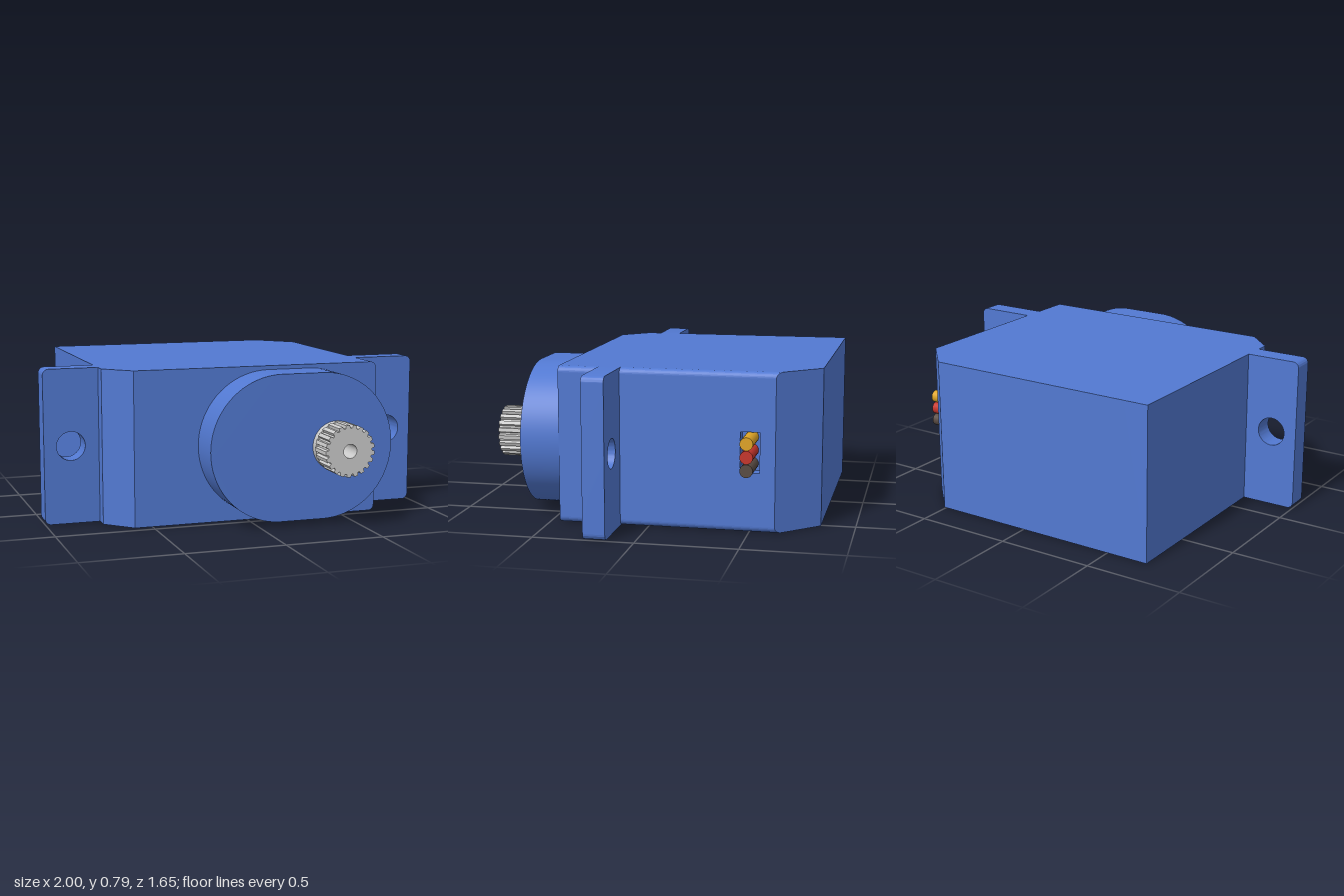
import * as THREE from 'three';
import { toCreasedNormals } from 'three/addons/utils/BufferGeometryUtils.js';

const H = 0.785, MID = 0.395;
const paint = (color) => new THREE.MeshStandardMaterial({ color });
const blue = paint(0x5279d2), grey = paint(0xcccccc);

function add(parent, name, geometry, material) {
  const mesh = new THREE.Mesh(geometry, material);
  mesh.name = name;
  parent.add(mesh);
  return mesh;
}

// Extrudes a shape along z, from z0 to z1
function plate(shape, z0, z1, smooth = true) {
  const g = new THREE.ExtrudeGeometry(shape, { depth: z1 - z0, bevelEnabled: false, curveSegments: 32 });
  g.translate(0, 0, z0);
  return smooth ? toCreasedNormals(g, 0.5) : g;
}

function circlePath(x, y, r) {
  return new THREE.Path().absarc(x, y, r, 0, Math.PI * 2, true);
}

// Joins rectangular sections [x, y0, y1, z0, z1] in order and closes both ends
function loftRectangles(sections) {
  const rings = sections.map(([x, y0, y1, z0, z1]) =>
    [[x, y0, z1], [x, y0, z0], [x, y1, z0], [x, y1, z1]]);
  const pos = [];
  const quad = (a, b, c, d) => pos.push(...a, ...b, ...c, ...a, ...c, ...d);
  for (let i = 0; i + 1 < rings.length; i++) {
    for (let j = 0; j < 4; j++) {
      const k = (j + 1) % 4;
      quad(rings[i][j], rings[i][k], rings[i + 1][k], rings[i + 1][j]);
    }
  }
  const first = rings[0], last = rings[rings.length - 1];
  quad(first[3], first[2], first[1], first[0]);
  quad(...last);
  const g = new THREE.BufferGeometry();
  g.setAttribute('position', new THREE.Float32BufferAttribute(pos, 3));
  g.computeVertexNormals();
  return g;
}

// Case with two chamfered corners, rounded left edges and a cable pocket
function caseGeometry() {
  const r = 0.03, steps = 8;
  const back = (x) => -0.83 + Math.max(0, x - 0.51) * 1.05;
  const sections = [
    [-0.72, 0, H, -0.83, 0.32],
    [-0.59, 0, H, -0.83, 0.45],
    [0.51, 0, H, -0.83, 0.45],
  ];
  for (let i = 0; i <= steps; i++) {
    const a = (i / steps) * Math.PI / 2;
    const x = 0.705 - r + r * Math.sin(a), inset = r * (1 - Math.cos(a));
    sections.push([x, inset, H - inset, back(x), 0.45]);
  }
  sections.push([0.705, 0.295, 0.495, -0.55, -0.455]);
  sections.push([0.64, 0.295, 0.495, -0.55, -0.455]);
  return loftRectangles(sections);
}

// Mounting ear with rounded outer corners and a screw hole
function earGeometry() {
  const r = 0.03, s = new THREE.Shape();
  s.moveTo(0.67, 0);
  s.lineTo(1 - r, 0);
  s.absarc(1 - r, r, r, -Math.PI / 2, 0, false);
  s.absarc(1 - r, H - r, r, 0, Math.PI / 2, false);
  s.lineTo(0.67, H);
  s.closePath();
  s.holes.push(circlePath(0.863, MID, 0.073));
  return plate(s, -0.055, 0.055);
}

// Stadium-shaped gear housing
function housingGeometry() {
  const r = 0.37, s = new THREE.Shape();
  s.absarc(0.11, MID, r, Math.PI / 2, Math.PI * 1.5, false);
  s.absarc(0.333, MID, r, -Math.PI / 2, Math.PI / 2, false);
  s.closePath();
  return plate(s, 0.45, 0.65);
}

// Toothed output shaft, four points per tooth
function splineGeometry() {
  const teeth = 21, pts = [];
  for (let i = 0; i < teeth; i++) {
    [[0, 0.115], [0.25, 0.115], [0.38, 0.13], [0.87, 0.13]].forEach(([f, r]) => {
      const a = ((i + f) / teeth) * Math.PI * 2;
      pts.push(new THREE.Vector2(r * Math.cos(a), r * Math.sin(a)));
    });
  }
  const s = new THREE.Shape(pts);
  s.holes.push(circlePath(0, 0, 0.035));
  return plate(s, 0.69, 0.825, false);
}

export function createModel() {
  const model = new THREE.Group();
  model.name = 'servoMotor';

  add(model, 'case', caseGeometry(), blue);
  add(model, 'gearHousing', housingGeometry(), blue);

  const ear = earGeometry();
  ['leftEar', 'rightEar'].forEach((name, i) => {
    const mesh = add(model, name, ear, blue);
    mesh.position.z = 0.195;
    mesh.rotation.y = i * Math.PI;
  });

  // Output shaft: smooth collar and toothed spline, bored through
  const shaft = new THREE.Group();
  shaft.name = 'outputShaft';
  shaft.position.set(0.4, MID, 0);
  const ring = new THREE.Shape().absarc(0, 0, 0.125, 0, Math.PI * 2, false);
  ring.holes.push(circlePath(0, 0, 0.035));
  add(shaft, 'collar', plate(ring, 0.65, 0.69), grey);
  add(shaft, 'spline', splineGeometry(), grey);
  model.add(shaft);

  // Three cable wires coming out of the pocket
  const wire = new THREE.CylinderGeometry(0.032, 0.032, 0.185, 24);
  wire.rotateZ(-Math.PI / 2);
  [['signalWire', 0xe0a526], ['powerWire', 0xc8362c], ['groundWire', 0x5a4c44]].forEach(([name, color], i) => {
    add(model, name, wire, paint(color)).position.set(0.7325, MID + (1 - i) * 0.065, -0.503);
  });

  return model;
}
